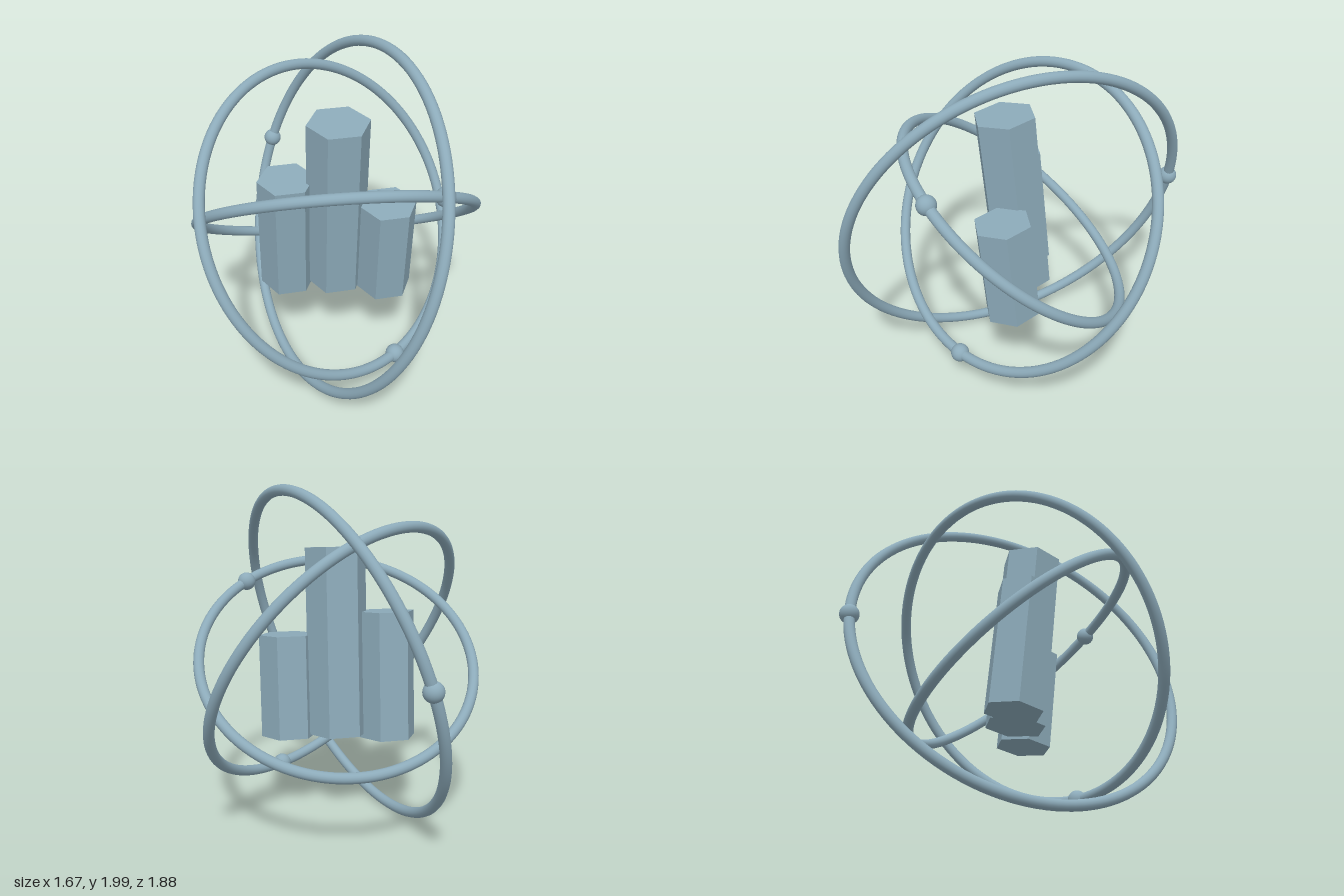
import * as THREE from 'three';

const UP = new THREE.Vector3(0, 1, 0);
const FORWARD = new THREE.Vector3(0, 0, 1);

export function createModel() {
  const model = new THREE.Group();
  const blueGrey = new THREE.MeshStandardMaterial({ color: 0x8caab9 });
  blueGrey.name = 'blueGrey';
  const facetedBlueGrey = blueGrey.clone();
  facetedBlueGrey.flatShading = true;

  // Three tilted orbit rings, each carrying a small bead
  const orbits = [
    { name: 'outer', radius: 1.02, normal: [0.824, -0.32, -0.468], bead: [-0.5, 0.05, -0.89] },
    { name: 'middle', radius: 0.915, normal: [0.67, 0.525, 0.525], bead: [0.37, -0.78, 0.3] },
    { name: 'inner', radius: 0.808, normal: [-0.11, 0.78, -0.62], bead: [0.59, 0.395, 0.39] },
  ];
  for (const { name, radius, normal, bead } of orbits) {
    const orbit = new THREE.Group();
    orbit.name = `${name}Orbit`;
    orbit.position.y = 1;

    const ring = new THREE.Mesh(new THREE.TorusGeometry(radius, 0.031, 16, 128), blueGrey);
    ring.name = `${name}Ring`;
    const axis = new THREE.Vector3(...normal).normalize();
    ring.quaternion.setFromUnitVectors(FORWARD, axis);

    const ball = new THREE.Mesh(new THREE.SphereGeometry(0.055, 24, 16), blueGrey);
    ball.name = `${name}Bead`;
    // Keep the bead exactly on its ring
    ball.position.set(...bead).projectOnPlane(axis).setLength(radius);

    orbit.add(ring, ball);
    model.add(orbit);
  }

  // Cluster of hexagonal columns leaning slightly forward
  const lean = new THREE.Vector3(0.022, 1, 0.09).normalize();
  const turn = new THREE.Quaternion().setFromAxisAngle(UP, THREE.MathUtils.degToRad(-14.5));
  const tilt = new THREE.Quaternion().setFromUnitVectors(UP, lean).multiply(turn);
  const columns = [
    { name: 'rightColumn', radius: 0.168, bottom: 0.525, top: [-0.282, 1.27, 0.05] },
    { name: 'centreColumn', radius: 0.18, bottom: 0.547, top: [0.017, 1.64, 0.066] },
    { name: 'leftColumn', radius: 0.168, bottom: 0.522, top: [0.302, 1.127, 0.045] },
  ];
  for (const { name, radius, bottom, top } of columns) {
    const height = (top[1] - bottom) / lean.y;
    const geometry = new THREE.CylinderGeometry(radius, radius, height, 6);
    geometry.translate(0, -height / 2, 0);
    const column = new THREE.Mesh(geometry, facetedBlueGrey);
    column.name = name;
    column.position.set(...top);
    column.quaternion.copy(tilt);
    model.add(column);
  }

  return model;
}
